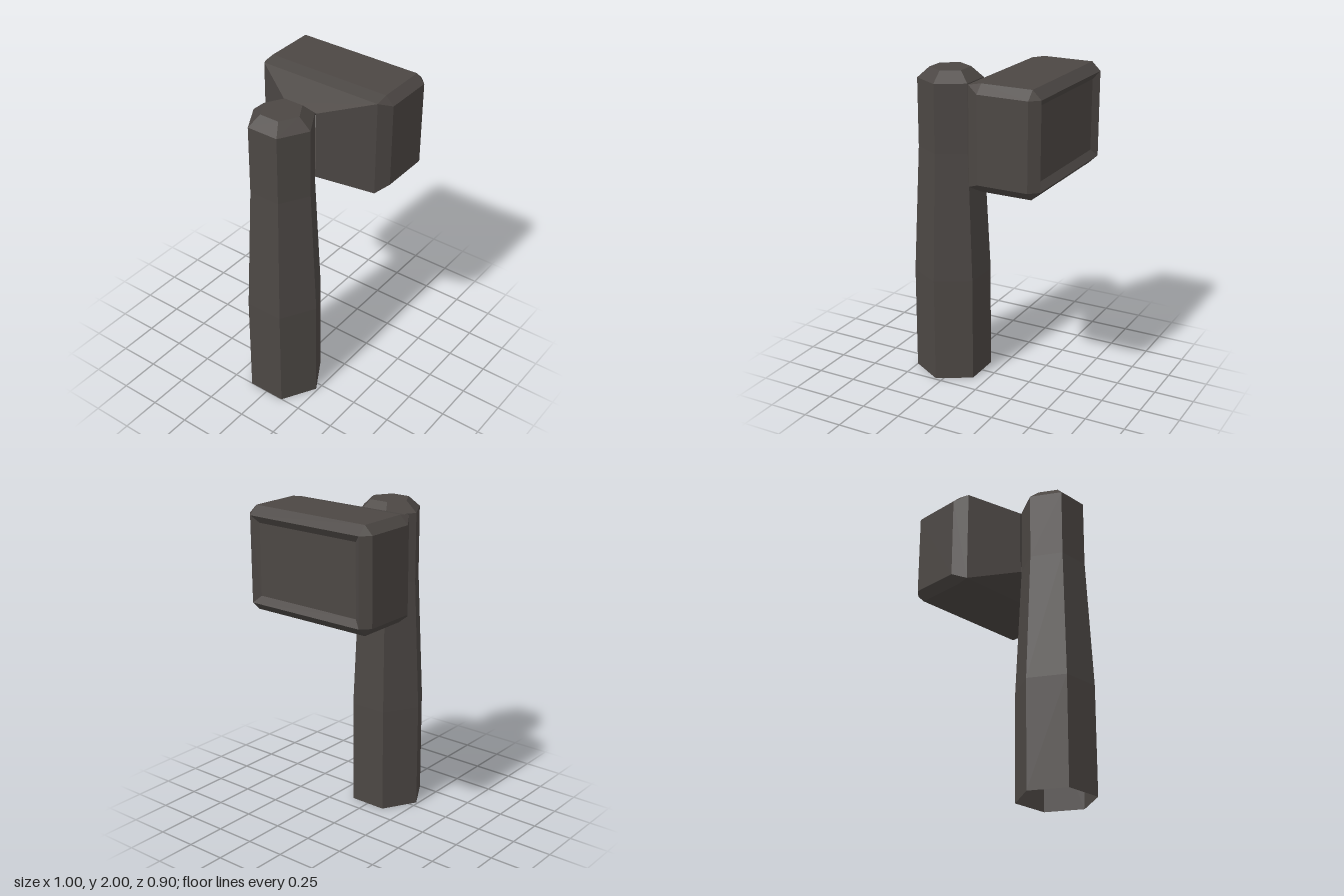
import * as THREE from 'three';

const darkStone = new THREE.MeshStandardMaterial({ color: 0x4c4744 });
darkStone.name = 'darkStone';
darkStone.flatShading = true;
darkStone.side = THREE.DoubleSide;

// Joins cross-sections (arrays of [x, y, z], equal length) into a faceted shell
function loft(sections, capEnd) {
  const pos = [];
  const tri = (a, b, c) => {
    const flat = new THREE.Triangle(...[a, b, c].map(p => new THREE.Vector3(...p)));
    if (flat.getArea() > 1e-7) pos.push(...a, ...b, ...c);
  };
  for (let s = 0; s < sections.length - 1; s++) {
    const A = sections[s], B = sections[s + 1], n = A.length;
    for (let i = 0; i < n; i++) {
      const j = (i + 1) % n;
      tri(A[i], A[j], B[j]);
      tri(A[i], B[j], B[i]);
    }
  }
  if (capEnd) {
    const E = sections[sections.length - 1];
    for (let i = 1; i < E.length - 1; i++) tri(E[0], E[i], E[i + 1]);
  }
  const g = new THREE.BufferGeometry();
  g.setAttribute('position', new THREE.Float32BufferAttribute(pos, 3));
  g.computeVertexNormals();
  return g;
}

// Hexagonal ring of the post
function hexagon(y, r) {
  return Array.from({ length: 6 }, (_, i) => {
    const a = (i * Math.PI) / 3;
    return [-0.295 + Math.sin(a) * r, y, Math.cos(a) * r];
  });
}

// Rectangle across x with corners cut by c, counter-clockwise seen from +x
function cutRect(x, y0, y1, z, c) {
  return [
    [x, y0, z - c], [x, y0, -z + c], [x, y0 + c, -z], [x, y1 - c, -z],
    [x, y1, -z + c], [x, y1, z - c], [x, y1 - c, z], [x, y0 + c, z],
  ];
}

export function createModel() {
  const model = new THREE.Group();
  model.name = 'postWithHead';

  // Tapered six-sided post, open underneath
  const post = new THREE.Mesh(loft([
    hexagon(0, 0.238), hexagon(0.67, 0.238), hexagon(1.48, 0.198),
    hexagon(1.905, 0.198), hexagon(1.97, 0.124),
  ], true), darkStone);
  post.name = 'post';

  // Flared, bevelled head with a shallow recessed face
  const head = new THREE.Mesh(loft([
    cutRect(-0.122, 1.48, 1.9, 0.105, 0),
    cutRect(0.05, 1.39, 1.983, 0.397, 0),
    cutRect(0.132, 1.375, 2, 0.449, 0.052),
    cutRect(0.446, 1.375, 2, 0.449, 0.052),
    cutRect(0.5, 1.427, 1.948, 0.397, 0),
    cutRect(0.47, 1.47, 1.905, 0.353, 0),
  ], true), darkStone);
  head.name = 'head';

  model.add(post, head);
  return model;
}
